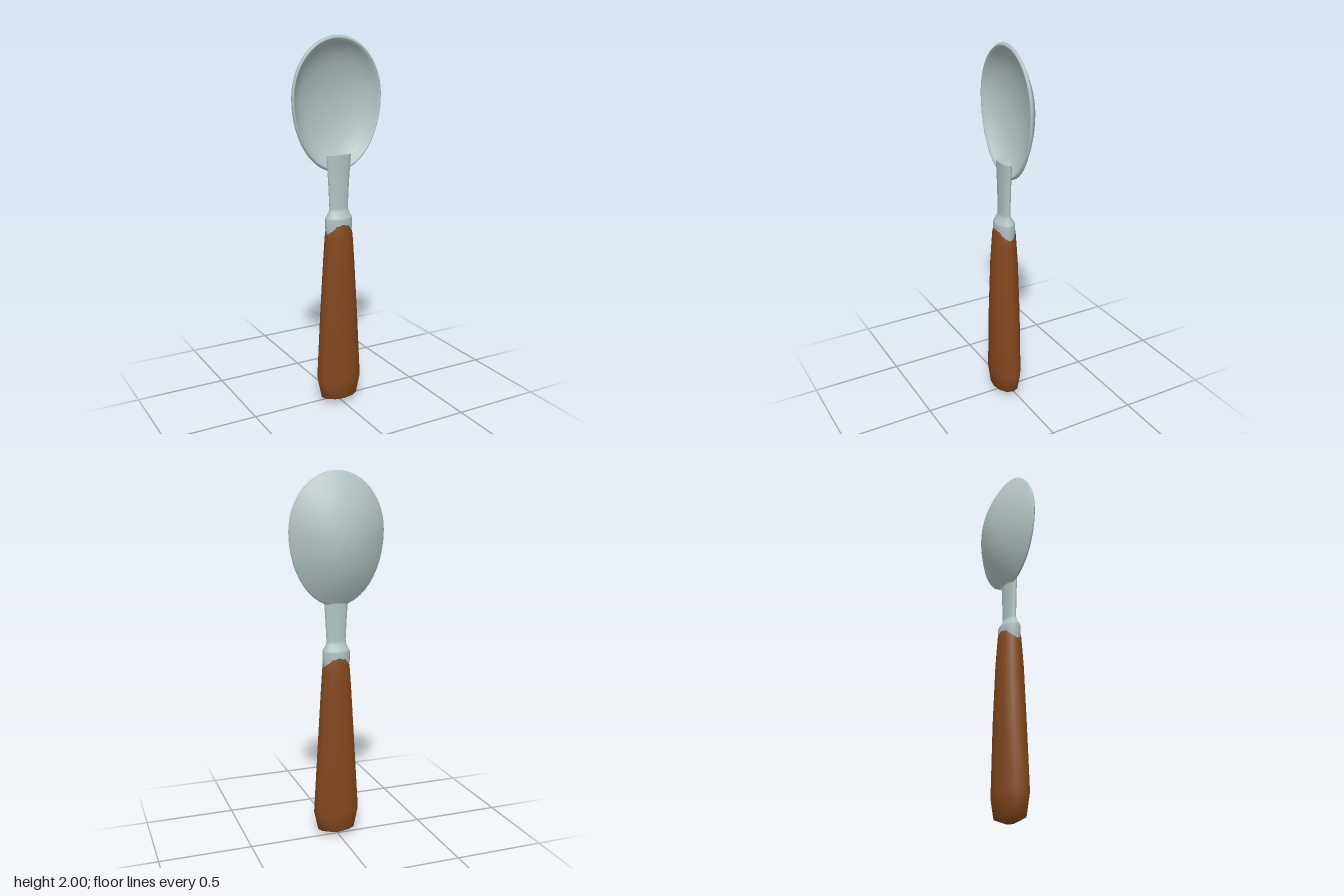
import * as THREE from 'three';

// Smooth surface through closed rings of points; point(i, j) gives each corner
function ringSurface(rings, sides, point) {
  const pos = [], idx = [];
  for (let i = 0; i < rings; i++) {
    for (let j = 0; j < sides; j++) {
      pos.push(...point(i, (j / sides) * Math.PI * 2));
      if (i === rings - 1) continue;
      const k = (j + 1) % sides;
      const a = i * sides + j, b = i * sides + k;
      idx.push(a, a + sides, b + sides, a, b + sides, b);
    }
  }
  const geo = new THREE.BufferGeometry();
  geo.setAttribute('position', new THREE.Float32BufferAttribute(pos, 3));
  geo.setIndex(idx);
  geo.computeVertexNormals();
  return geo;
}

// Upright oval loft; each ring is [y, half width, half depth, front/back lift]
function ovalLoft(rings, sides, cz) {
  return ringSurface(rings.length, sides, (i, a) => {
    const [y, rx, rz, lift = 0] = rings[i];
    const s = Math.sin(a);
    return [rx * Math.cos(a), y + lift * Math.min(1, 1.15 * s * s), cz + rz * s];
  });
}

export function createModel() {
  const group = new THREE.Group();
  const steel = new THREE.MeshStandardMaterial({ color: 0xb3c3c3 });
  const wood = new THREE.MeshStandardMaterial({ color: 0x84481e });
  steel.name = 'steel';
  wood.name = 'wood';
  const add = (name, geo, mat) => {
    const mesh = new THREE.Mesh(geo, mat);
    mesh.name = name;
    group.add(mesh);
  };

  // Tapered wooden grip with a wavy upper edge
  add('handle', ovalLoft([
    [0, 0, 0], [0.004, 0.035, 0.025], [0.03, 0.107, 0.07], [0.14, 0.131, 0.082],
    [0.5, 0.109, 0.08], [0.82, 0.088, 0.071], [0.94, 0.08, 0.063],
    [0.965, 0.077, 0.057, 0.05], [0.97, 0.07, 0.048, 0.06], [0.97, 0, 0, 0.0],
  ], 12, 0.024), wood);

  // Ferrule narrowing into the flat neck
  add('neck', ovalLoft([
    [0.95, 0.068, 0.045], [1.0, 0.077, 0.052], [1.05, 0.077, 0.052], [1.06, 0.074, 0.049],
    [1.09, 0.058, 0.028], [1.11, 0.055, 0.024], [1.25, 0.062, 0.024], [1.392, 0.073, 0.025],
  ], 20, 0.023), steel);
  add('neckEnd', ovalLoft([[1.392, 0.073, 0.025], [1.392, 0, 0]], 20, 0.023), steel);

  // Egg-shaped bowl: [radius fraction, z] from the back, over the rim, to the inside
  const profile = [];
  for (const r of [0, 0.15, 0.3, 0.45, 0.6, 0.75, 0.88, 0.97, 1]) {
    profile.push([r, -0.107 + 0.115 * r * r]);
  }
  profile.push([0.99, 0.014], [0.975, 0.02], [0.955, 0.02], [0.92, 0.007], [0.86, -0.016],
    [0.75, -0.041], [0.6, -0.062], [0.4, -0.08], [0.2, -0.088], [0, -0.091]);
  add('bowl', ringSurface(profile.length, 48, (i, a) => {
    const [r, z] = profile[i];
    const s = Math.sin(a);
    const y = 1.69 - 0.05 * (1 - r) + r * s * (s > 0 ? 0.31 : 0.39);
    return [-0.263 * r * Math.cos(a), y, z];
  }), steel);

  return group;
}
